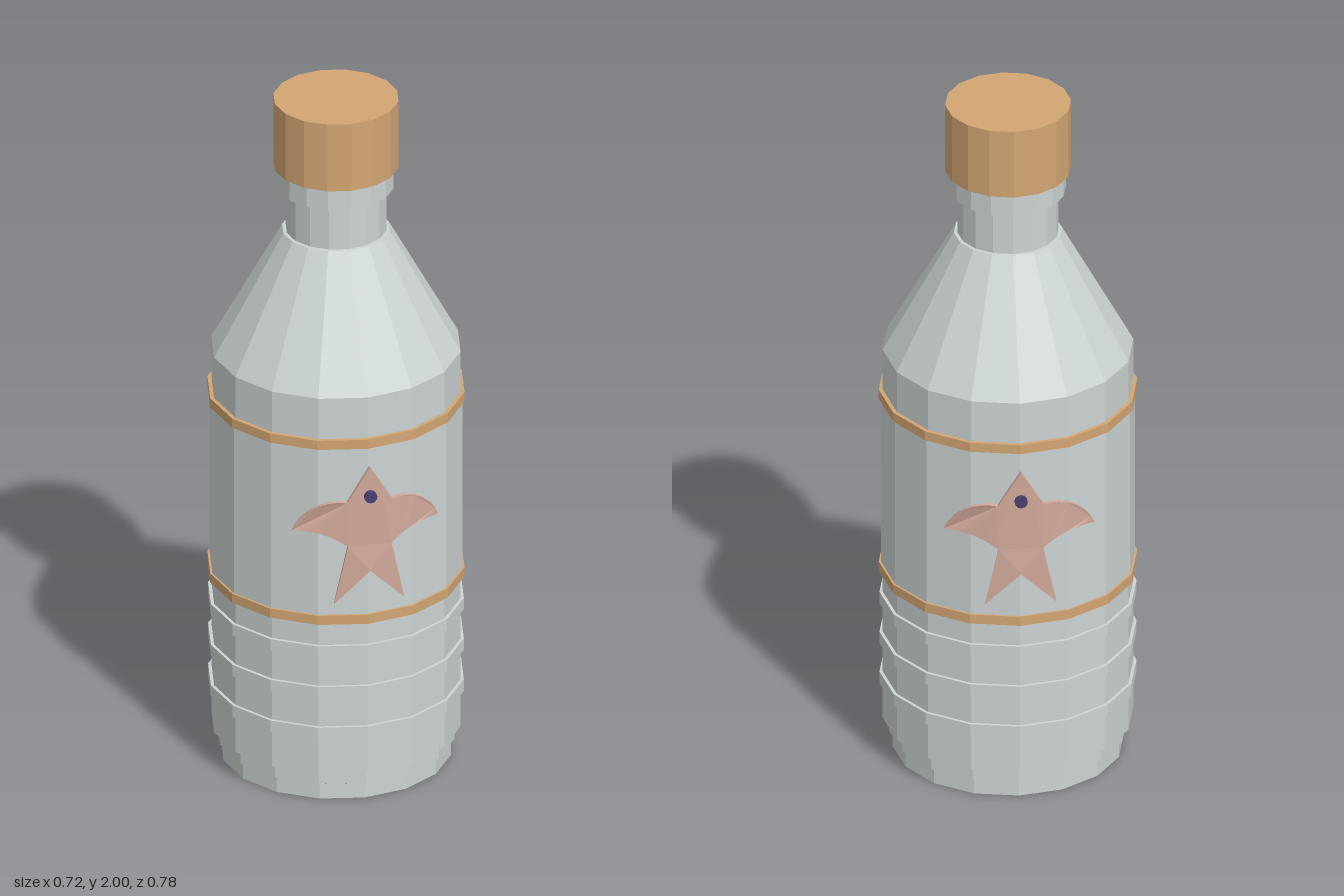
import * as THREE from 'three';

const SIDES = 16;
const glass = new THREE.MeshStandardMaterial({ color: 0xccd4d3, flatShading: true });
glass.name = 'paleGrey';
const cork = new THREE.MeshStandardMaterial({ color: 0xd3a673, flatShading: true });
cork.name = 'tan';
const pink = new THREE.MeshStandardMaterial({ color: 0xd2aa9b, flatShading: true });
pink.name = 'dustyPink';
const purple = new THREE.MeshStandardMaterial({ color: 0x4a3f70, flatShading: true });
purple.name = 'darkPurple';

function add(parent, name, geometry, material) {
  const mesh = new THREE.Mesh(geometry, material);
  mesh.name = name;
  parent.add(mesh);
  return mesh;
}

// Faceted disc or band between two heights
function band(parent, name, radius, y0, y1, material) {
  const mesh = add(parent, name, new THREE.CylinderGeometry(radius, radius, y1 - y0, SIDES), material);
  mesh.position.y = (y0 + y1) / 2;
}

// Extruded outline wrapped around the bottle
const INNER = 0.366, OUTER = 0.38;
function wrapped(points) {
  const geometry = new THREE.ExtrudeGeometry(new THREE.Shape(points), {
    depth: OUTER - INNER, bevelEnabled: false,
  });
  const p = geometry.attributes.position;
  for (let i = 0; i < p.count; i++) {
    const angle = Math.asin(p.getX(i) / OUTER);
    const r = INNER + p.getZ(i);
    p.setXYZ(i, r * Math.sin(angle), p.getY(i), r * Math.cos(angle));
  }
  geometry.computeVertexNormals();
  return geometry;
}

const v = (x, y) => new THREE.Vector2(x, y);

function createBird() {
  const bird = new THREE.Group();
  bird.name = 'birdEmblem';

  // Head, body and forked tail
  const half = [v(0.03, 0.995), v(0.064, 0.938), v(0.062, 0.803), v(0.1, 0.628)];
  const left = half.map((q) => v(-q.x, q.y)).reverse();
  add(bird, 'birdBody', wrapped([v(0, 1.042), ...half, v(0, 0.725), ...left]), pink);

  // Curved wings
  const upper = new THREE.CubicBezierCurve(v(0.064, 0.938), v(0.12, 0.95), v(0.19, 0.91), v(0.21, 0.845));
  const lower = new THREE.QuadraticBezierCurve(v(0.21, 0.845), v(0.13, 0.86), v(0.062, 0.803));
  const wing = [...upper.getPoints(8), ...lower.getPoints(8).slice(1)];
  for (const [name, s] of [['leftWing', 1], ['rightWing', -1]]) {
    add(bird, name, wrapped(wing.map((q) => v(q.x * s, q.y))), pink);
  }

  // Eye stud
  const eye = add(bird, 'birdEye', new THREE.CylinderGeometry(0.018, 0.018, 0.022, 12), purple);
  eye.rotation.x = Math.PI / 2;
  eye.position.set(0, 0.955, 0.378);
  return bird;
}

export function createModel() {
  const bottle = new THREE.Group();
  bottle.name = 'bottle';

  // Stepped foot, ribbed lower body, label section, shoulder and neck
  const profile = [[0, 0], [0.32, 0], [0.32, 0.045], [0.33, 0.05], [0.33, 0.09], [0.347, 0.09]];
  for (const y of [0.2, 0.325, 0.45]) {
    profile.push([0.347, y], [0.356, y], [0.356, y + 0.035], [0.347, y + 0.035]);
  }
  profile.push(
    [0.347, 0.565], [0.352, 0.565], [0.352, 1.1], [0.347, 1.1], [0.347, 1.242],
    [0.15, 1.6], [0.14, 1.6], [0.14, 1.73], [0.16, 1.73], [0.16, 1.8],
  );
  add(bottle, 'bottleBody', new THREE.LatheGeometry(profile.map(([r, y]) => v(r, y)), SIDES), glass);

  // Label trims and stopper
  band(bottle, 'lowerTrim', 0.358, 0.552, 0.58, cork);
  band(bottle, 'upperTrim', 0.358, 1.09, 1.118, cork);
  band(bottle, 'stopper', 0.174, 1.795, 2, cork);

  // One bird on the front, one on the back
  for (const turn of [0, Math.PI]) {
    const bird = createBird();
    bird.rotation.y = turn;
    bottle.add(bird);
  }
  return bottle;
}
